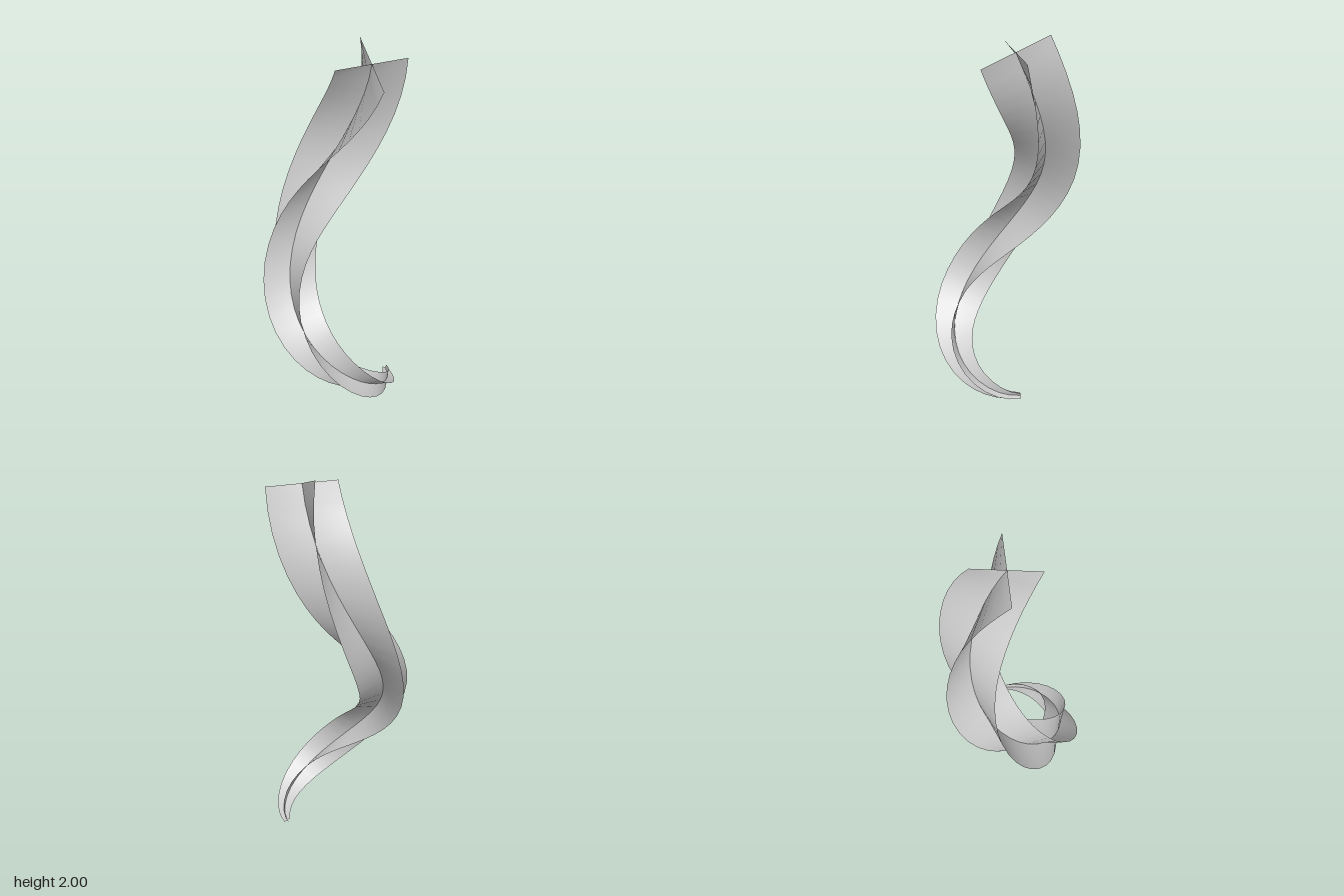
import * as THREE from 'three';

const STEPS = 32;
const TURN = Math.PI * 2;
const EXTRA_TWIST = Math.PI * 1.2;

// Spine: one rising turn that tightens and steepens towards the top
const radius = t => 0.3 - 0.11 * t;
function spine(t) {
  const a = TURN * t, r = radius(t);
  return new THREE.Vector3(r * Math.cos(a), 0.02 + 1.91 * Math.pow(t, 1.6), r * Math.sin(a));
}
// Half width of the blades: a near point at the foot, full at the top
const halfWidth = t => 0.018 + 0.172 * (1 - (1 - t) * (1 - t));

function spineTangent(t) {
  const a = TURN * t, r = radius(t);
  return new THREE.Vector3(
    -0.11 * Math.cos(a) - r * TURN * Math.sin(a),
    1.91 * 1.6 * Math.pow(t, 0.6),
    -0.11 * Math.sin(a) + r * TURN * Math.cos(a)
  ).normalize();
}

// Frames along the spine, rolling from the top down
function buildFrames() {
  const frames = [];
  let roll = 0;
  for (let i = STEPS; i >= 0; i--) {
    const t = i / STEPS, a = TURN * t;
    const tangent = spineTangent(t);
    const inward = new THREE.Vector3(-Math.cos(a), 0, -Math.sin(a));
    inward.addScaledVector(tangent, -inward.dot(tangent)).normalize();
    const side = new THREE.Vector3().crossVectors(tangent, inward);
    frames[i] = { center: spine(t), inward, side, roll, width: halfWidth(t) };
    const middle = spineTangent(Math.max(0, t - 0.5 / STEPS));
    roll -= (TURN * middle.y + EXTRA_TWIST) / STEPS;
  }
  return frames;
}

// One ribbon, three points across, swept along the frames
function ribbonGeometry(frames, angle) {
  const positions = [], index = [];
  frames.forEach((f, i) => {
    const across = f.inward.clone().multiplyScalar(Math.cos(f.roll + angle))
      .addScaledVector(f.side, Math.sin(f.roll + angle));
    for (const s of [-1, 0, 1]) {
      positions.push(...f.center.clone().addScaledVector(across, s * f.width).toArray());
    }
    if (i === STEPS) return;
    for (let j = 0; j < 2; j++) {
      const a = i * 3 + j, b = a + 3;
      index.push(a, a + 1, b, a + 1, b + 1, b);
    }
  });
  const geometry = new THREE.BufferGeometry();
  geometry.setAttribute('position', new THREE.Float32BufferAttribute(positions, 3));
  geometry.setIndex(index);
  geometry.computeVertexNormals();
  return geometry;
}

export function createModel() {
  const group = new THREE.Group();
  group.name = 'twistedCrossStem';
  const material = new THREE.MeshStandardMaterial({ color: 0xcccccc, side: THREE.DoubleSide });
  const frames = buildFrames();
  // Two ribbons crossing at right angles
  ['firstRibbon', 'secondRibbon'].forEach((name, i) => {
    const mesh = new THREE.Mesh(ribbonGeometry(frames, i * Math.PI / 2), material);
    mesh.name = name;
    group.add(mesh);
  });
  return group;
}
